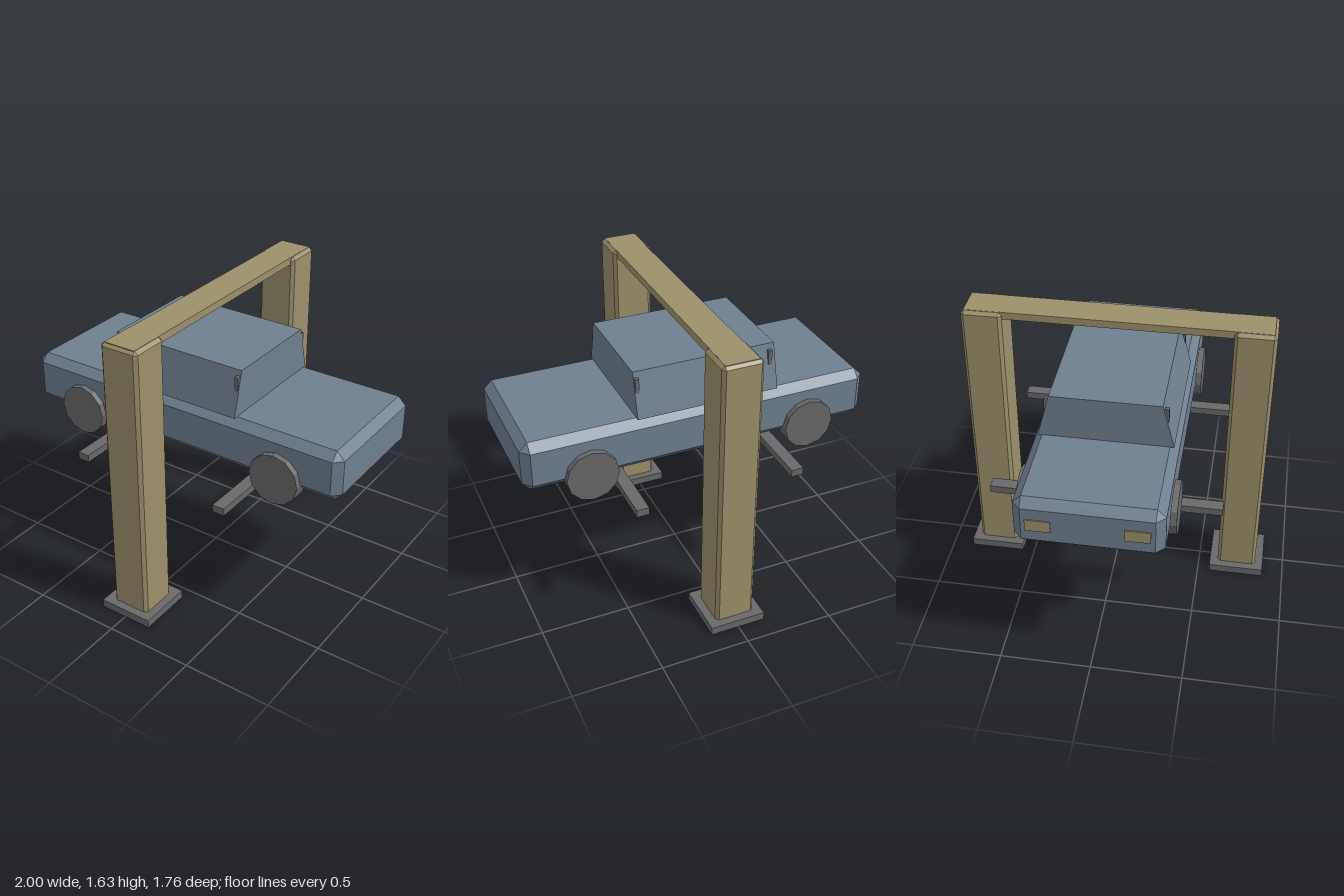
import * as THREE from 'three';
import { ConvexGeometry } from 'three/addons/geometries/ConvexGeometry.js';

const material = (name, color) => {
  const m = new THREE.MeshStandardMaterial({ color });
  m.name = name;
  return m;
};

// Box whose edges and corners are all cut by c
function chamferBox(w, h, d, c) {
  const points = [];
  for (const x of [-w / 2, w / 2]) for (const y of [-h / 2, h / 2]) for (const z of [-d / 2, d / 2]) {
    const ix = x - Math.sign(x) * c, iy = y - Math.sign(y) * c, iz = z - Math.sign(z) * c;
    points.push(new THREE.Vector3(x, iy, iz), new THREE.Vector3(ix, y, iz), new THREE.Vector3(ix, iy, z));
  }
  return new ConvexGeometry(points);
}

export function createModel() {
  const steelBlue = material('slate blue paint', 0x708090);
  const tan = material('tan paint', 0x9c916a);
  const grey = material('dark grey', 0x696969);

  const model = new THREE.Group();
  model.name = 'carOnLift';
  const car = new THREE.Group();
  car.name = 'car';
  const lift = new THREE.Group();
  lift.name = 'lift';
  model.add(car, lift);

  function add(parent, name, geometry, mat, x, y, z) {
    const mesh = new THREE.Mesh(geometry, mat);
    mesh.name = name;
    mesh.position.set(x, y, z);
    parent.add(mesh);
    return mesh;
  }

  // Lift: two posts on base plates, a top beam and two cross arms
  for (const s of [-1, 1]) {
    add(lift, 'basePlate', new THREE.BoxGeometry(0.315, 0.046, 0.312), grey, 0.002, 0.023, s * 0.724);
    add(lift, 'post', chamferBox(0.224, 1.62, 0.222, 0.018), tan, 0.001, 0.822, s * 0.724);
    add(lift, 'liftArm', new THREE.BoxGeometry(0.07, 0.042, 1.27), grey, s * 0.45, 0.75, 0);
  }
  add(lift, 'topBeam', new THREE.BoxGeometry(0.18, 0.042, 1.64), tan, 0.002, 1.612, 0);

  // Car body
  add(car, 'body', chamferBox(1.99, 0.288, 0.766, 0.046), steelBlue, 0.003, 0.988, 0);

  // Cabin with sides leaning inward
  const cabin = new THREE.Shape([
    new THREE.Vector2(-0.36, 0), new THREE.Vector2(0.36, 0),
    new THREE.Vector2(0.295, 0.252), new THREE.Vector2(-0.295, 0.252),
  ]);
  const cabinGeometry = new THREE.ExtrudeGeometry(cabin, { depth: 0.812, bevelEnabled: false });
  cabinGeometry.rotateY(Math.PI / 2);
  add(car, 'cabin', cabinGeometry, steelBlue, -0.45, 1.13, 0);

  for (const s of [-1, 1]) {
    // Wheels
    for (const x of [-0.632, 0.636]) {
      const wheel = add(car, 'wheel', new THREE.CylinderGeometry(0.145, 0.145, 0.096, 12).toNonIndexed(), grey, x, 0.886, s * 0.369);
      wheel.geometry.computeVertexNormals();
      wheel.rotation.x = Math.PI / 2;
    }
    // Small uprights on the cabin sides
    for (const x of [-0.417, 0.352]) {
      add(car, 'mirror', new THREE.BoxGeometry(0.022, 0.082, 0.03), grey, x - (x > 0 ? 0.003 : 0), 1.31, s * 0.311);
    }
    // Lamps at the -x end
    add(car, 'lamp', new THREE.BoxGeometry(0.008, 0.068, 0.13), tan, -0.994, 0.987, s * 0.25);
  }

  return model;
}
